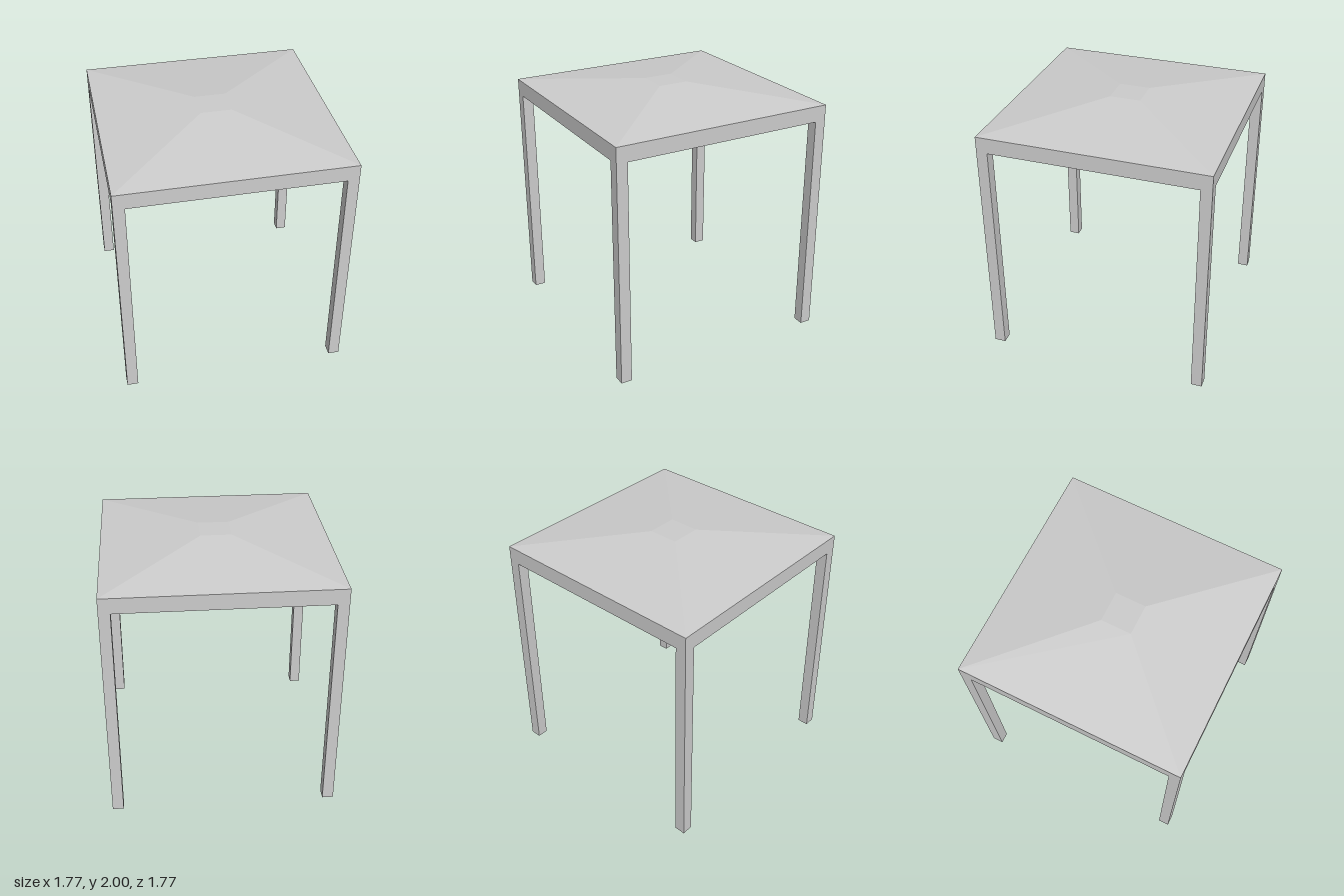
import * as THREE from 'three';

export function createModel() {
  const model = new THREE.Group();
  const material = new THREE.MeshStandardMaterial({ color: 0xcccccc, flatShading: true });

  const half = 0.887;      // half width of the square plan
  const legSize = 0.087;
  const legTop = 1.782;
  const eaves = 1.905;
  const ridge = 2;
  const topHalf = 0.12;    // half width of the flat roof centre

  const add = (name, geometry, x, y, z) => {
    const mesh = new THREE.Mesh(geometry, material);
    mesh.name = name;
    mesh.position.set(x, y, z);
    model.add(mesh);
  };

  // Four square legs, flush with the corners
  const legGeometry = new THREE.BoxGeometry(legSize, legTop, legSize);
  const offset = half - legSize / 2;
  for (const [sz, end] of [[1, 'front'], [-1, 'back']]) {
    for (const [sx, side] of [[1, 'Left'], [-1, 'Right']]) {
      add(`${end}${side}Leg`, legGeometry, sx * offset, legTop / 2, sz * offset);
    }
  }

  // Solid slab with a flat underside
  add('slab', new THREE.BoxGeometry(half * 2, eaves - legTop, half * 2), 0, (legTop + eaves) / 2, 0);

  // Shallow hipped roof with a small flat square at the centre
  const roof = new THREE.CylinderGeometry(topHalf * Math.SQRT2, half * Math.SQRT2, ridge - eaves, 4);
  roof.rotateY(Math.PI / 4);
  add('hippedRoof', roof, 0, (eaves + ridge) / 2, 0);

  return model;
}
